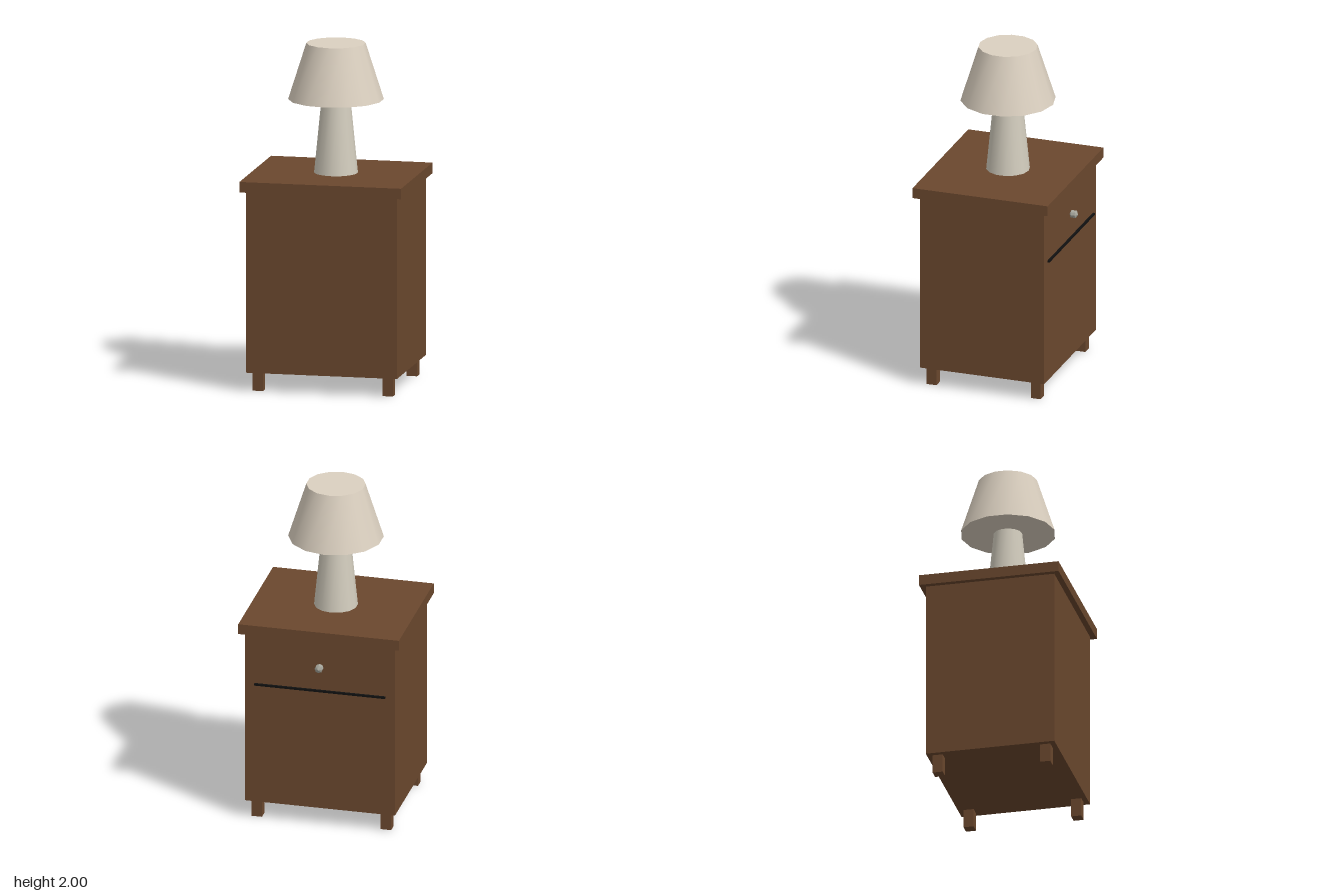
import * as THREE from 'three';

const material = (name, color, extra = {}) => {
  const m = new THREE.MeshStandardMaterial({ color, ...extra });
  m.name = name;
  return m;
};

export function createModel() {
  const model = new THREE.Group();
  model.name = 'nightstandWithLamp';
  const wood = material('brownWood', 0x6b482e);
  const black = material('blackGap', 0x111111);
  const metal = material('greyMetal', 0xa6a69c, { flatShading: true });
  const ceramic = material('paleCeramic', 0xd3cdbe);
  const fabric = material('creamFabric', 0xdbd0c0);
  const zc = 0.007; // cabinet and lamp axis

  const add = (name, geometry, mat, x, y, z) => {
    const mesh = new THREE.Mesh(geometry, mat);
    mesh.name = name;
    mesh.position.set(x, y, z);
    model.add(mesh);
    return mesh;
  };
  // box standing on y0 and reaching y1
  const box = (name, mat, w, d, y0, y1, x, z) =>
    add(name, new THREE.BoxGeometry(w, y1 - y0, d), mat, x, (y0 + y1) / 2, z);
  // 14-sided tapered solid
  const taper = (name, mat, rTop, rBottom, y0, y1) =>
    add(name, new THREE.CylinderGeometry(rTop, rBottom, y1 - y0, 14), mat, 0, (y0 + y1) / 2, zc);

  // Cabinet
  box('cabinetBody', wood, 0.894, 0.764, 0.11, 1.176, 0, zc);
  box('tableTop', wood, 0.958, 0.83, 1.176, 1.238, 0, zc);
  for (const x of [-0.385, 0.385])
    for (const z of [-0.312, 0.328]) box('leg', wood, 0.062, 0.06, 0, 0.11, x, z);

  // Drawer on the back side
  box('drawerGap', black, 0.78, 0.014, 0.849, 0.861, 0, -0.38);
  const knob = add('drawerKnob', new THREE.SphereGeometry(0.027, 8, 3), metal, 0, 1.005, -0.397);
  knob.rotation.x = -Math.PI / 2;

  // Lamp
  taper('lampBase', ceramic, 0.084, 0.127, 1.238, 1.672);
  taper('lampShade', fabric, 0.172, 0.277, 1.67, 2);
  return model;
}
